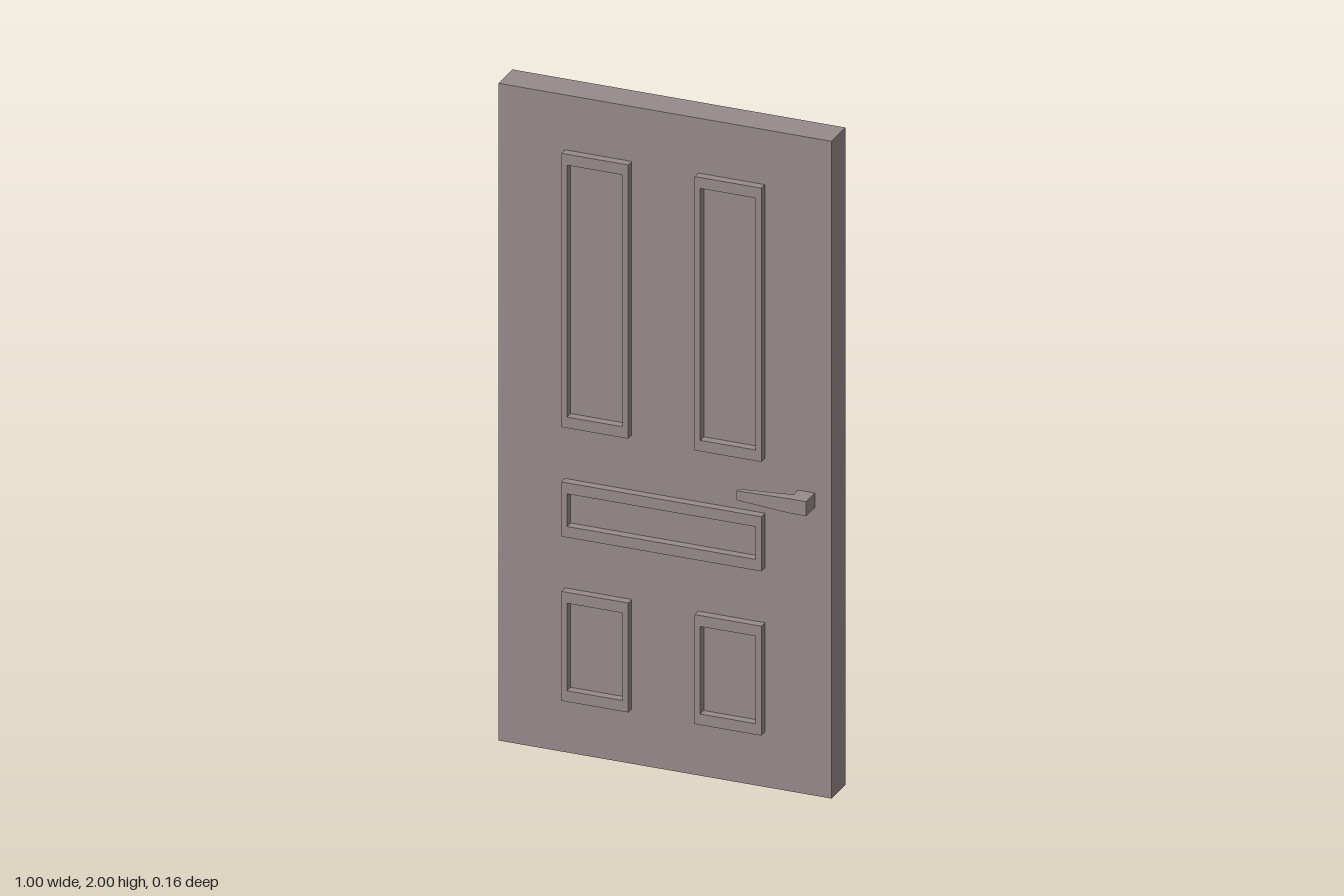
import * as THREE from 'three';

const FRONT = 0.017; // z of the door's front face

export function createModel() {
  const door = new THREE.Group();
  door.name = 'door';
  const paint = new THREE.MeshStandardMaterial({ color: 0x978b8c });
  paint.name = 'warm grey';

  const add = (name, geometry, x = 0, y = 0, z = 0) => {
    const mesh = new THREE.Mesh(geometry, paint);
    mesh.name = name;
    mesh.position.set(x, y, z);
    door.add(mesh);
  };

  // Slab
  add('slab', new THREE.BoxGeometry(1, 2, 0.1), 0, 1, FRONT - 0.05);

  // Raised rectangular mouldings, narrower at the sides than top and bottom
  const moulding = (name, x0, x1, y0, y1) => {
    const rect = (Type, a, b, c, d) => new Type([
      new THREE.Vector2(a, c), new THREE.Vector2(b, c),
      new THREE.Vector2(b, d), new THREE.Vector2(a, d),
    ]);
    const shape = rect(THREE.Shape, x0, x1, y0, y1);
    shape.holes.push(rect(THREE.Path, x0 + 0.0167, x1 - 0.0167, y0 + 0.0333, y1 - 0.0333));
    add(name, new THREE.ExtrudeGeometry(shape, { depth: 0.026, bevelEnabled: false }), 0, 0, FRONT);
  };
  for (const [side, x0, x1] of [['left', 0.1, 0.3], ['right', -0.3, -0.1]]) {
    moulding(`${side}UpperMoulding`, x0, x1, 1, 1.833);
    moulding(`${side}LowerMoulding`, x0, x1, 0.167, 0.5);
  }
  moulding('middleMoulding', -0.3, 0.3, 0.667, 0.833);

  // Handle: square post with a lever tapering towards its tip
  add('handlePost', new THREE.BoxGeometry(0.05, 0.044, 0.063), 0.425, 0.899, FRONT + 0.0315);
  const lever = new THREE.BoxGeometry(0.162, 0.044, 0.031);
  const p = lever.attributes.position;
  for (let i = 0; i < p.count; i++) {
    if (p.getX(i) < 0) {
      p.setY(i, p.getY(i) * 0.65);
      p.setZ(i, p.getZ(i) * 0.47);
    }
  }
  const flat = lever.toNonIndexed();
  flat.computeVertexNormals();
  add('handleLever', flat, 0.319, 0.899, 0.0645);

  return door;
}
